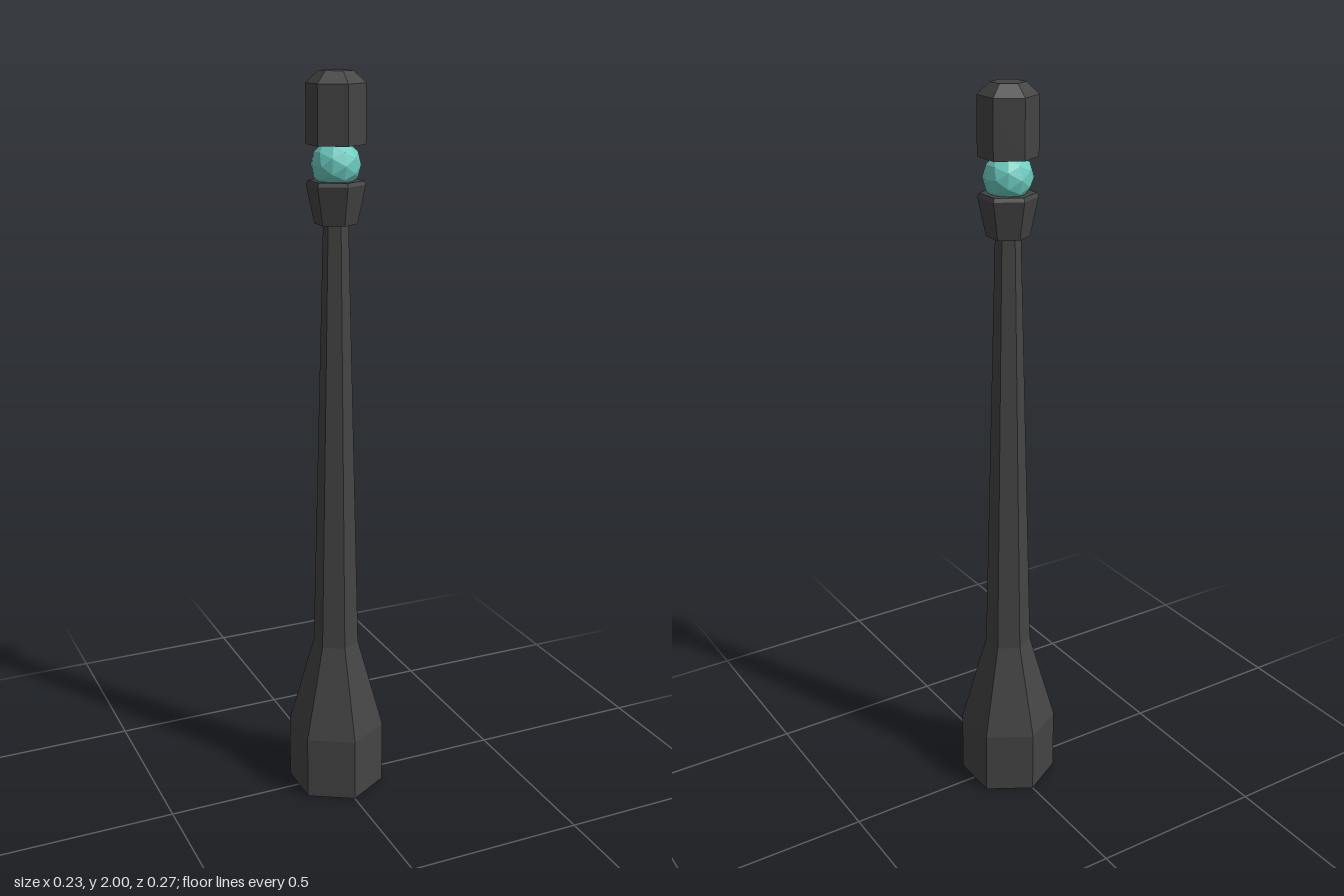
import * as THREE from 'three';

const dark = new THREE.MeshStandardMaterial({ color: 0x444444, flatShading: true });
const teal = new THREE.MeshStandardMaterial({ color: 0x6cccc0, flatShading: true });

// Closed six-sided part turned from [radius, height] pairs, with corners on +z and -z
function hexPart(name, profile) {
  const points = [[0, profile[0][1]], ...profile, [0, profile.at(-1)[1]]];
  const geometry = new THREE.LatheGeometry(points.map(([r, y]) => new THREE.Vector2(r, y)), 6);
  const mesh = new THREE.Mesh(geometry, dark);
  mesh.name = name;
  return mesh;
}

export function createModel() {
  const group = new THREE.Group();
  group.name = 'lampPost';

  // Foot flaring into the slim tapered shaft
  group.add(hexPart('post', [[0.135, 0], [0.135, 0.18], [0.063, 0.44], [0.033, 1.63]]));

  // Collar widening upward, with a small bevelled rim
  group.add(hexPart('collar', [[0.056, 1.62], [0.077, 1.72], [0.072, 1.73]]));

  // Faceted glowing ball between collar and cap
  const ball = new THREE.Mesh(new THREE.IcosahedronGeometry(0.065, 1), teal);
  ball.name = 'lampBall';
  ball.position.y = 1.77;
  group.add(ball);

  // Cap with a chamfered top
  group.add(hexPart('cap', [[0.077, 1.82], [0.077, 1.97], [0.044, 2]]));

  return group;
}
